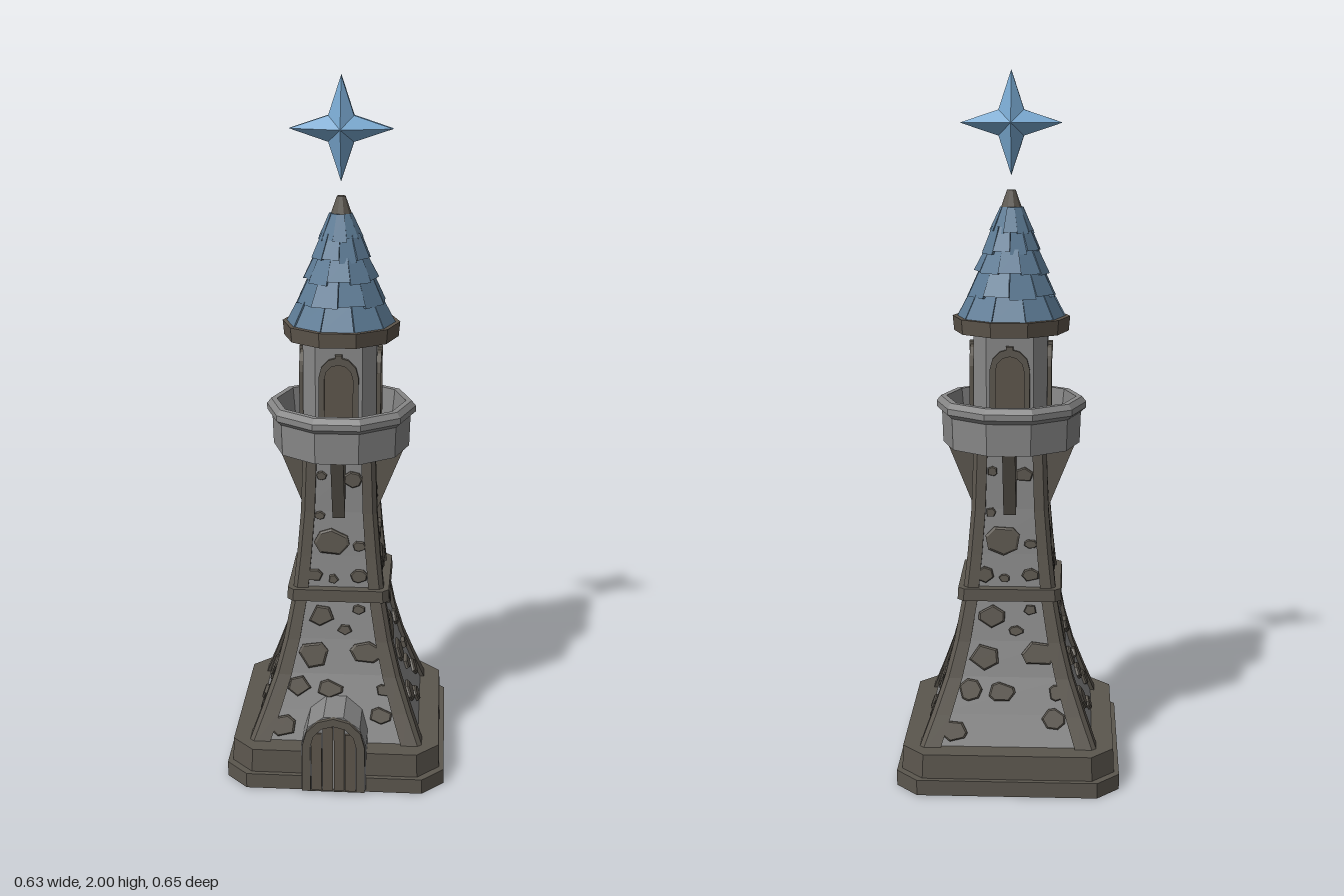
import * as THREE from 'three';
import { mergeGeometries } from 'three/addons/utils/BufferGeometryUtils.js';

const paint = (name, color) => {
  const m = new THREE.MeshStandardMaterial({ color });
  m.name = name;
  return m;
};

// Small seeded generator for irregular stones and tiles
let seed = 11;
const rnd = () => (seed = (seed * 16807) % 2147483647) / 2147483647;

const flat = (g) => {
  const f = g.index ? g.toNonIndexed() : g;
  f.deleteAttribute('uv');
  f.computeVertexNormals();
  return f;
};

// Faceted solid through rings of [x, y, z], counter-clockwise from above, bottom to top
function loft(rings) {
  const p = [], n = rings[0].length;
  const tri = (...v) => v.forEach((q) => p.push(...q));
  const mid = (r) => [0, 1, 2].map((k) => r.reduce((s, q) => s + q[k], 0) / n);
  const lo = rings[0], hi = rings[rings.length - 1];
  for (let i = 0; i < n; i++) {
    const j = (i + 1) % n;
    for (let k = 0; k + 1 < rings.length; k++) {
      const a = rings[k], b = rings[k + 1];
      tri(a[i], a[j], b[j]);
      tri(a[i], b[j], b[i]);
    }
    tri(mid(lo), lo[j], lo[i]);
    tri(mid(hi), hi[i], hi[j]);
  }
  const g = new THREE.BufferGeometry();
  g.setAttribute('position', new THREE.Float32BufferAttribute(p, 3));
  g.computeVertexNormals();
  return g;
}

// Square ring of half width h with corners cut by c
const square = (h, c, y) => {
  const k = h - c;
  return [[h, y, k], [h, y, -k], [k, y, -h], [-k, y, -h], [-h, y, -k], [-h, y, k], [-k, y, h], [k, y, h]];
};
const squareShape = (h, c) => new THREE.Shape(square(h, c, 0).map((q) => new THREE.Vector2(q[0], -q[2])));

// Arch outline: half width w, from y0 up to the springing, then to the top
function archPoints(w, y0, spring, top, n = 6) {
  const pts = [new THREE.Vector2(-w, y0), new THREE.Vector2(w, y0)];
  for (let i = 0; i <= n; i++) {
    const a = (i / n) * Math.PI;
    pts.push(new THREE.Vector2(Math.cos(a) * w, spring + Math.sin(a) * (top - spring)));
  }
  return pts;
}
const extrude = (shape, depth) => flat(new THREE.ExtrudeGeometry(shape, { depth, bevelEnabled: false }));

// Wall half width by height
const profile = [[0.1, 0.245], [0.2, 0.207], [0.3, 0.172], [0.4, 0.146], [0.53, 0.122], [0.65, 0.109], [0.78, 0.098], [0.97, 0.091]];
function wallAt(y) {
  let i = 0;
  while (i < profile.length - 2 && profile[i + 1][0] < y) i++;
  const [y0, h0] = profile[i], [y1, h1] = profile[i + 1];
  const slope = (h1 - h0) / (y1 - y0);
  return { h: h0 + (y - y0) * slope, slope };
}

// Irregular flat stone lying on the +z wall
function stone([u, y, r]) {
  const n = 5 + Math.floor(rnd() * 3), squash = 0.65 + rnd() * 0.3, turn = rnd() * 6;
  const pts = Array.from({ length: n }, (_, i) => {
    const a = turn + ((i + rnd() * 0.5) / n) * Math.PI * 2;
    return [Math.cos(a) * r, -Math.sin(a) * r * squash];
  });
  const g = loft([[1, -0.01], [1, 0.007], [0.86, 0.011]].map(([s, d]) => pts.map(([x, z]) => [x * s, d, z * s])));
  const w = wallAt(y);
  return g.rotateX(Math.PI / 2).rotateX(Math.atan(w.slope)).translate(u, y, w.h);
}

const stonesA = [
  [-0.05, 0.47, 0.04], [0.06, 0.49, 0.02], [0.02, 0.43, 0.022], [0.085, 0.365, 0.05], [-0.07, 0.355, 0.045],
  [-0.11, 0.265, 0.035], [0.14, 0.26, 0.028], [-0.155, 0.155, 0.04], [0.13, 0.19, 0.035], [-0.02, 0.26, 0.04],
  [0.04, 0.88, 0.028], [-0.05, 0.89, 0.016], [-0.02, 0.69, 0.052], [0.06, 0.68, 0.02], [0.06, 0.59, 0.026],
  [-0.07, 0.59, 0.026], [-0.015, 0.58, 0.016], [-0.055, 0.77, 0.016]];
const stonesB = [
  [-0.06, 0.41, 0.055], [0.09, 0.49, 0.02], [0.04, 0.46, 0.03], [0.1, 0.365, 0.03], [0, 0.3, 0.04],
  [-0.07, 0.2, 0.04], [0.05, 0.235, 0.035], [0.11, 0.27, 0.022], [0.01, 0.15, 0.03], [0.13, 0.18, 0.03],
  [-0.02, 0.82, 0.03], [0.035, 0.885, 0.02], [-0.02, 0.69, 0.026], [0.02, 0.6, 0.045], [-0.05, 0.6, 0.022],
  [0.065, 0.685, 0.02], [0.07, 0.585, 0.02]];

export function createModel() {
  const light = paint('light stone', 0x878787);
  const dark = paint('dark stone', 0x5b564e);
  const wood = paint('wood', 0x5d554b);
  const tileBlue = paint('roof tile', 0x5d7b95);
  const starBlue = paint('star crystal', 0x79a9d1);

  const root = new THREE.Group();
  root.name = 'tower';
  root.position.z = -0.012;
  const add = (name, geo, mat, parent = root) => {
    const m = new THREE.Mesh(geo, mat);
    m.name = name;
    parent.add(m);
    return m;
  };
  const deca = (rt, rb, h, y) => flat(new THREE.CylinderGeometry(rt, rb, h, 10).rotateY(Math.PI / 2).translate(0, y, 0));

  // Stepped plinth, hollow underneath
  const ring = (outer, inner) => {
    const s = squareShape(outer, 0.063);
    s.holes.push(squareShape(inner, 0.058));
    return extrude(s, 0.045).rotateX(-Math.PI / 2);
  };
  add('plinthStep', ring(0.317, 0.3), dark);
  add('plinthLiner', ring(0.3, 0.275), light);
  add('plinth', loft([square(0.303, 0.063, 0.04), square(0.3, 0.063, 0.115)]), dark);

  // Flared square shaft and its belt
  add('shaft', loft(profile.map(([y, h]) => [[h, y, h], [h, y, -h], [-h, y, -h], [-h, y, h]])), light);
  add('belt', loft([square(0.149, 0.018, 0.52), square(0.147, 0.018, 0.555)]), dark);

  // Corner piers, brackets, wall stones and turret arches on all four sides
  const pier = loft(profile.map(([y, h]) => {
    const p = 0.012, w = 0.015 + h * 0.14;
    return [[h - w, y, h - w], [h - w, y, h + p], [h, y, h + p], [h + p, y, h], [h + p, y, h - w]];
  }));
  const bracketShape = new THREE.Shape([[0.07, 0.765], [0.108, 0.765], [0.185, 0.957], [0.07, 0.957]].map((q) => new THREE.Vector2(...q)));
  const bracket = extrude(bracketShape, 0.036).translate(0, 0, -0.018).rotateY(-Math.PI / 2);
  const archShape = new THREE.Shape(archPoints(0.056, 0.995, 1.185, 1.243));
  archShape.holes.push(new THREE.Path(archPoints(0.04, 0.996, 1.18, 1.222)));
  const arch = extrude(archShape, 0.016).translate(0, 0, 0.1);
  const panel = extrude(new THREE.Shape(archPoints(0.042, 0.996, 1.18, 1.224)), 0.006).translate(0, 0, 0.1);
  for (let i = 0; i < 4; i++) {
    const side = new THREE.Group();
    side.name = ['frontSide', 'leftSide', 'backSide', 'rightSide'][i];
    side.rotation.y = (i * Math.PI) / 2;
    root.add(side);
    add('cornerPier', pier, dark, side);
    add('balconyBracket', bracket, dark, side);
    add('wallStones', mergeGeometries((i % 2 ? stonesB : stonesA).map(stone)), dark, side);
    add('turretArch', arch, dark, side);
    add('turretDoor', panel, wood, side);
    add('archKeystone', flat(new THREE.BoxGeometry(0.02, 0.026, 0.022).translate(0, 1.237, 0.108)), dark, side);
  }

  // Ten-sided balcony with a raised rim
  const rim = [[0, 0.955], [0.197, 0.955], [0.2, 1.045], [0.215, 1.058], [0.215, 1.075], [0.203, 1.09], [0.186, 1.09], [0.176, 1.0], [0, 1.0]];
  add('balcony', flat(new THREE.LatheGeometry(rim.map((q) => new THREE.Vector2(...q)), 10).rotateY(Math.PI / 2)), light);
  add('turret', loft([square(0.104, 0.038, 0.99), square(0.104, 0.038, 1.285)]), light);

  // Eave, tiled cone and cap
  add('eave', deca(0.167, 0.163, 0.042, 1.301), wood);
  add('roofCore', deca(0.03, 0.132, 0.3, 1.468), tileBlue);
  const tiers = [[1.32, 0.15, 0.114], [1.385, 0.126, 0.092], [1.447, 0.104, 0.07], [1.507, 0.081, 0.051], [1.56, 0.061, 0.03]];
  const tiles = [];
  tiers.forEach(([y, rb, rt], t) => {
    for (let i = 0; i < 10; i++) {
      const a0 = ((i + (t % 2) * 0.5) * Math.PI) / 5, a1 = a0 + Math.PI / 5 - 0.015;
      const drop = (rnd() - 0.5) * 0.014, out = rnd() * 0.006;
      const quad = (inner, outer, h) => [[inner, a0], [outer, a0], [outer, a1], [inner, a1]]
        .map(([r, a]) => [Math.cos(a) * r, h, -Math.sin(a) * r]);
      tiles.push(loft([quad(rb - 0.03, rb + out, y + (t ? drop : 0)), quad(rt - 0.018, rt + out, y + 0.068)]));
    }
  });
  add('roofTiles', mergeGeometries(tiles), tileBlue);
  add('roofCap', deca(0.012, 0.036, 0.068, 1.641), dark);

  // Floating four-pointed star, thin at the edge and peaked at the centre
  const outline = Array.from({ length: 8 }, (_, i) => {
    const a = (i * Math.PI) / 4, r = i % 2 ? 0.05 : 0.142;
    return [Math.cos(a) * r, -Math.sin(a) * r];
  });
  const starRing = (s, h) => outline.map(([x, z]) => [x * s, h, z * s]);
  add('star', loft([starRing(0.001, -0.052), starRing(1, -0.011), starRing(1, 0.011), starRing(0.001, 0.052)])
    .rotateX(Math.PI / 2).translate(0, 1.858, 0), starBlue);

  // Arched porch with plank door
  add('porch', extrude(new THREE.Shape(archPoints(0.093, 0.008, 0.15, 0.245, 5)), 0.2).translate(0, 0, 0.125), light);
  const frame = new THREE.Shape(archPoints(0.09, 0.008, 0.15, 0.242));
  frame.holes.push(new THREE.Path(archPoints(0.066, 0.009, 0.15, 0.218)));
  add('doorFrame', extrude(frame, 0.014).translate(0, 0, 0.323), dark);
  const heights = [0.19, 0.213, 0.213, 0.19];
  heights.forEach((h, i) => add('doorPlank',
    flat(new THREE.BoxGeometry(0.03, h - 0.008, 0.008).translate((i - 1.5) * 0.0325, (h + 0.008) / 2, 0.327 + (i % 2) * 0.002)), wood));

  const model = new THREE.Group();
  model.name = 'model';
  model.add(root);
  return model;
}
